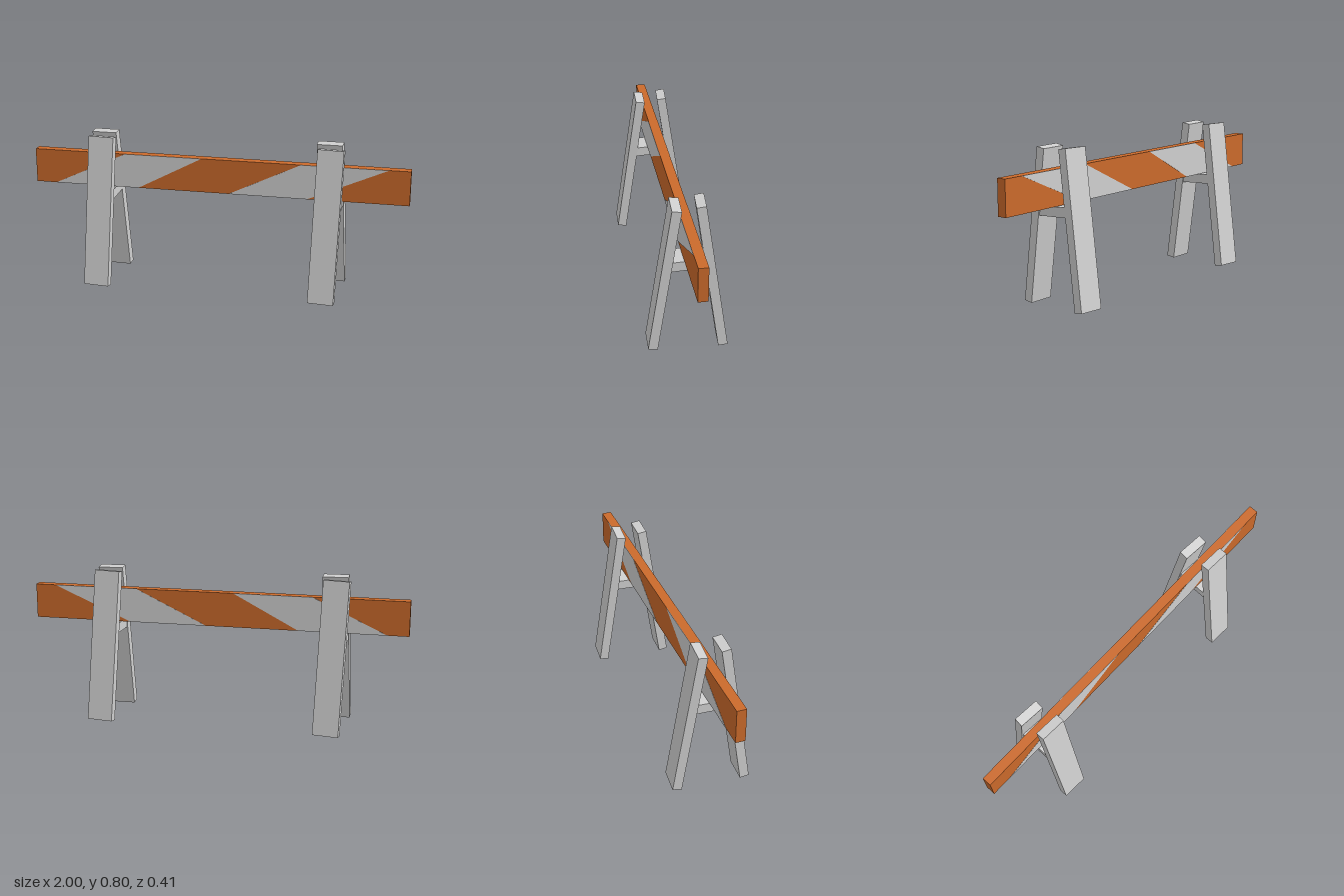
import * as THREE from 'three';

const orange = new THREE.MeshStandardMaterial({ color: 0xcb6a2b });
orange.name = 'orangePaint';
const grey = new THREE.MeshStandardMaterial({ color: 0xd0d0d0 });
grey.name = 'paleGrey';

// A plank running from one point to another, its width turned by yaw about y
function plank(name, from, to, width, thickness, yaw) {
  const a = new THREE.Vector3(...from);
  const b = new THREE.Vector3(...to);
  const along = b.clone().sub(a);
  const length = along.length();
  along.normalize();
  const across = new THREE.Vector3(Math.cos(yaw), 0, Math.sin(yaw));
  across.addScaledVector(along, -across.dot(along)).normalize();
  const depth = new THREE.Vector3().crossVectors(across, along);
  const mesh = new THREE.Mesh(new THREE.BoxGeometry(width, length, thickness), grey);
  mesh.quaternion.setFromRotationMatrix(new THREE.Matrix4().makeBasis(across, along, depth));
  mesh.position.copy(a).add(b).multiplyScalar(0.5);
  mesh.name = name;
  return mesh;
}

// Slightly crooked A-shaped stand: two leaning legs and a rung
function makeStand(name, x) {
  const stand = new THREE.Group();
  stand.name = name;
  stand.add(
    plank('frontLeg', [-0.009, 0.007, 0.179], [0.008, 0.8, 0.064], 0.135, 0.048, 0.04),
    plank('backLeg', [0.013, 0.009, -0.174], [-0.012, 0.8, -0.059], 0.135, 0.048, 0.078),
    plank('rung', [0, 0.485, 0.095], [0, 0.493, -0.09], 0.125, 0.051, 0.05)
  );
  stand.position.x = x;
  return stand;
}

export function createModel() {
  const model = new THREE.Group();
  model.name = 'barricade';
  model.add(makeStand('rightStand', -0.618), makeStand('leftStand', 0.59));

  // Crossboard resting on the rungs
  const bottom = 0.518, top = 0.7, zMid = 0.003, depth = 0.05;
  const board = new THREE.Mesh(new THREE.BoxGeometry(2, top - bottom, depth), orange);
  board.position.set(0, (top + bottom) / 2, zMid);
  board.name = 'crossboard';
  model.add(board);

  // Slanted stripes on both faces: bottom left, bottom right, top right, top left
  const stripes = [
    [-0.89, -0.43, -0.085, -0.5],
    [0.06, 0.475, 0.89, 0.44],
  ];
  const plate = 0.002;
  for (const [bl, br, tr, tl] of stripes) {
    const shape = new THREE.Shape([
      new THREE.Vector2(bl, bottom),
      new THREE.Vector2(br, bottom),
      new THREE.Vector2(tr, top),
      new THREE.Vector2(tl, top),
    ]);
    const geometry = new THREE.ExtrudeGeometry(shape, { depth: plate, bevelEnabled: false });
    for (const side of [1, -1]) {
      const stripe = new THREE.Mesh(geometry, grey);
      stripe.position.z = zMid + (side * depth) / 2 - plate / 2;
      stripe.name = side > 0 ? 'frontStripe' : 'backStripe';
      model.add(stripe);
    }
  }
  return model;
}
